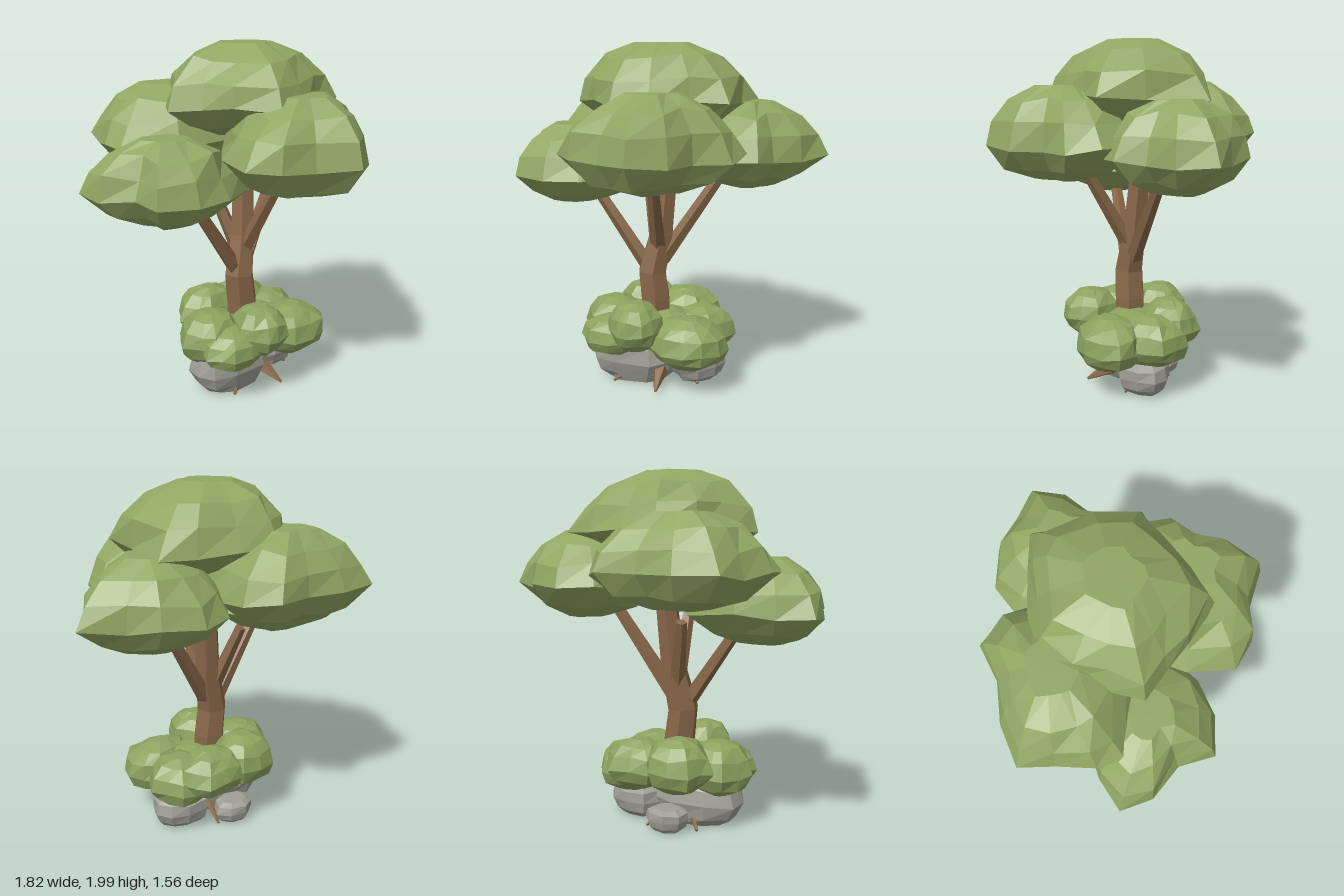
import * as THREE from 'three';

const mat = (name, color) => {
  const m = new THREE.MeshStandardMaterial({ color, flatShading: true });
  m.name = name;
  return m;
};

// Seeded noise in -1..1
function makeNoise(seed) {
  let s = seed * 7919 + 17;
  return () => {
    s = (s * 16807) % 2147483647;
    return (s / 2147483647) * 2 - 1;
  };
}

// Closed faceted skin through equal-length rings of points, bottom to top
function loft(rings) {
  const pos = [];
  const tri = (...ps) => ps.forEach((p) => pos.push(p.x, p.y, p.z));
  const n = rings[0].length;
  const middle = (ring) => ring.reduce((a, p) => a.add(p), new THREE.Vector3()).divideScalar(n);
  const low = rings[0], high = rings[rings.length - 1];
  const lowMid = middle(low), highMid = middle(high);
  for (let j = 0; j < n; j++) {
    const k = (j + 1) % n;
    for (let i = 0; i + 1 < rings.length; i++) {
      tri(rings[i][j], rings[i + 1][j], rings[i][k]);
      tri(rings[i + 1][j], rings[i + 1][k], rings[i][k]);
    }
    tri(lowMid, low[j], low[k]);
    tri(highMid, high[k], high[j]);
  }
  const g = new THREE.BufferGeometry();
  g.setAttribute('position', new THREE.Float32BufferAttribute(pos, 3));
  g.computeVertexNormals();
  return g;
}

// Lumpy mass: a plan outline [x, z] scaled up a profile of [height, scale];
// points that stick out of the plan taper to a tip above and below the widest ring
function clump(outline, y0, y1, profile, rough, seed) {
  const noise = makeNoise(seed);
  const n = outline.length;
  const cx = outline.reduce((a, p) => a + p[0], 0) / n;
  const cz = outline.reduce((a, p) => a + p[1], 0) / n;
  const mean = outline.reduce((a, p) => a + Math.hypot(p[0] - cx, p[1] - cz), 0) / n;
  const h = y1 - y0;
  return loft(profile.map(([t, s], i) => {
    const edge = i === 0 || i === profile.length - 1;
    return outline.map(([x, z]) => {
      const out = Math.max(0, Math.hypot(x - cx, z - cz) / mean - 1);
      const taper = 1 - out * (1 - s ** 3) * 0.75;
      const k = s * taper * (1 + noise() * (s === 1 ? rough * 0.25 : rough));
      const y = y0 + h * (t + (edge ? 0 : noise() * rough * 0.55));
      return new THREE.Vector3(cx + (x - cx) * k, y, cz + (z - cz) * k);
    });
  }));
}

// Irregular oval plan with alternating lobes
function oval(cx, cz, rx, rz, n, lobe, seed) {
  const noise = makeNoise(seed);
  return Array.from({ length: n }, (_, i) => {
    const a = ((i + noise() * 0.2) / n) * Math.PI * 2;
    const k = 1 - (i % 2) * lobe + noise() * 0.04;
    return [cx + Math.cos(a) * rx * k, cz + Math.sin(a) * rz * k];
  });
}

// Limb through points [x, y, z, radius]
function limb(points, sides = 6) {
  const v = points.map((p) => new THREE.Vector3(p[0], p[1], p[2]));
  return loft(points.map((p, i) => {
    const dir = v[Math.min(i + 1, v.length - 1)].clone().sub(v[Math.max(i - 1, 0)]).normalize();
    const q = new THREE.Quaternion().setFromUnitVectors(new THREE.Vector3(0, 1, 0), dir);
    return Array.from({ length: sides }, (_, j) => {
      const a = (j / sides) * Math.PI * 2 + 0.3;
      return new THREE.Vector3(Math.cos(a) * p[3], 0, Math.sin(a) * p[3]).applyQuaternion(q).add(v[i]);
    });
  }));
}

const LEAF = [[0, 0.36], [0.12, 0.74], [0.36, 1], [0.62, 0.9], [0.85, 0.69], [1, 0.33]];
const BUSH = [[0, 0.45], [0.18, 0.85], [0.42, 1], [0.7, 0.9], [0.9, 0.62], [1, 0.25]];
const ROCK = [[0, 0.7], [0.18, 0.88], [0.5, 1], [0.85, 0.95], [1, 0.68]];

export function createModel() {
  const model = new THREE.Group();
  model.name = 'tree';
  const leaf = mat('canopy green', 0x91a663);
  const bush = mat('bush green', 0x8ca35f);
  const bark = mat('bark brown', 0x886749);
  const stone = mat('stone grey', 0xa09f96);
  const add = (name, geometry, material) => {
    const m = new THREE.Mesh(geometry, material);
    m.name = name;
    model.add(m);
  };

  // Canopy: four spreading masses under a crown
  const canopy = [
    ['rightCanopy', 1.09, 1.54, [[-0.91, -0.38], [-0.72, -0.42], [-0.5, -0.4], [-0.22, -0.32], [-0.1, -0.08],
      [-0.18, 0.14], [-0.42, 0.26], [-0.63, 0.27], [-0.83, 0.18], [-0.81, -0.02], [-0.91, -0.2]]],
    ['leftCanopy', 1.2, 1.68, [[0.22, -0.53], [0.42, -0.58], [0.62, -0.5], [0.72, -0.36], [0.91, -0.22],
      [0.77, -0.05], [0.62, 0.05], [0.55, 0.2], [0.41, 0.21], [0.2, 0.12], [0.1, -0.1], [0.1, -0.35]]],
    ['backCanopy', 1.29, 1.77, [[-0.57, -0.78], [-0.33, -0.78], [-0.12, -0.73], [0.1, -0.76], [0.2, -0.6],
      [0.22, -0.42], [0.15, -0.2], [-0.12, -0.06], [-0.45, -0.1], [-0.72, -0.27], [-0.7, -0.42], [-0.62, -0.6]]],
    ['frontCanopy', 1.24, 1.75, [[-0.4, 0.18], [-0.22, -0.02], [0.1, -0.08], [0.4, 0.04], [0.5, 0.24],
      [0.45, 0.42], [0.26, 0.5], [0.17, 0.67], [-0.02, 0.77], [-0.2, 0.63], [-0.37, 0.56], [-0.48, 0.42]]],
    ['crown', 1.51, 2, [[-0.12, -0.52], [0.1, -0.47], [0.33, -0.4], [0.5, -0.32], [0.44, 0], [0.4, 0.25],
      [0.2, 0.28], [0, 0.38], [-0.2, 0.4], [-0.35, 0.2], [-0.43, 0.05], [-0.53, -0.1], [-0.42, -0.25], [-0.3, -0.38]]],
  ];
  canopy.forEach(([name, y0, y1, plan], i) => add(name, clump(plan, y0, y1, LEAF, 0.07, i + 3), leaf));

  // Trunk and branches
  add('trunk', limb([[-0.06, 0.1, -0.05, 0.098], [-0.06, 0.5, -0.05, 0.094], [-0.08, 0.67, -0.05, 0.09],
    [-0.03, 0.9, -0.07, 0.075], [0.01, 1.35, -0.1, 0.062]]), bark);
  const branches = {
    rightBranch: [[-0.08, 0.67, -0.05], [-0.44, 1.2, -0.05]],
    leftBranch: [[-0.02, 0.75, -0.06], [0.34, 1.3, -0.13]],
    frontBranch: [[-0.04, 0.83, -0.04], [-0.01, 1.33, 0.25]],
    backBranch: [[-0.05, 0.8, -0.08], [-0.14, 1.19, -0.22]],
  };
  for (const [name, [a, b]] of Object.entries(branches))
    add(name, limb([[...a, 0.048], [...b, 0.032]], 5), bark);

  // Ring of bushes round the trunk: x, z, rx, rz, bottom, top
  [
    [-0.31, -0.05, 0.19, 0.21, 0.2, 0.5],
    [-0.13, 0.17, 0.17, 0.18, 0.27, 0.55],
    [0.17, 0.13, 0.25, 0.2, 0.17, 0.46],
    [0.21, -0.11, 0.21, 0.21, 0.18, 0.46],
    [0.1, -0.25, 0.22, 0.18, 0.25, 0.52],
    [-0.14, -0.26, 0.21, 0.18, 0.25, 0.55],
    [-0.27, 0.1, 0.21, 0.18, 0.21, 0.44],
    [0, -0.04, 0.3, 0.26, 0.21, 0.45],
  ].forEach(([x, z, rx, rz, y0, y1], i) =>
    add('bush' + (i + 1), clump(oval(x, z, rx, rz, 12, 0.1, i + 21), y0, y1, BUSH, 0.07, i + 31), bush));

  // Rocks at the foot
  [
    ['largeRock', -0.17, -0.03, 0.3, 0.18, 0.01, 0.27, 10],
    ['sideRock', 0.18, -0.07, 0.18, 0.16, 0.02, 0.2, 9],
    ['smallRock', -0.07, -0.26, 0.13, 0.1, 0.015, 0.14, 8],
  ].forEach(([name, x, z, rx, rz, y0, y1, n], i) =>
    add(name, clump(oval(x, z, rx, rz, n, 0.05, i + 51), y0, y1, ROCK, 0.06, i + 61), stone));

  // Root tips poking out between the rocks
  [
    [[-0.01, 0.1, 0.04], [0, 0.03, 0.225], 0.055],
    [[-0.15, 0.08, 0.02], [-0.28, 0.02, 0.12], 0.03],
    [[0.1, 0.08, -0.05], [0.22, 0.02, 0.05], 0.025],
    [[0, 0.1, -0.1], [0.05, 0.02, -0.27], 0.03],
    [[-0.15, 0.1, -0.1], [-0.24, 0.02, -0.23], 0.03],
  ].forEach(([a, b, r], i) => add('root' + (i + 1), limb([[...a, r], [...b, 0.008]], 5), bark));

  return model;
}
